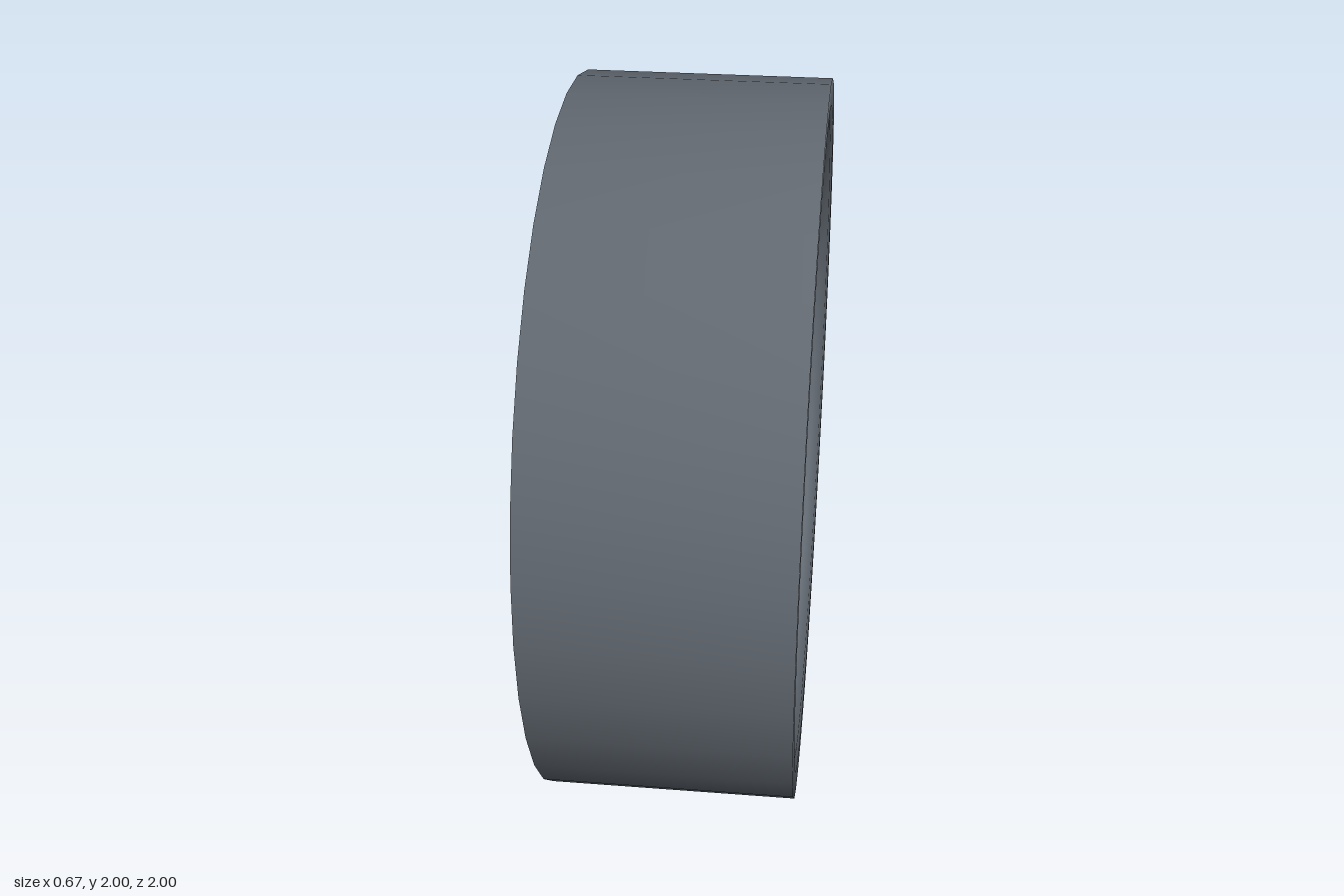
import * as THREE from 'three';

const BLADES = 9;
const steel = new THREE.MeshStandardMaterial({ color: 0x60676f });
steel.name = 'blue grey steel';
const bronze = new THREE.MeshStandardMaterial({ color: 0x8a7652 });
bronze.name = 'bronze';

// Edge curve of a blade; each point is [x along the axle, radius, sweep in degrees]
const edge = (points) => new THREE.CatmullRomCurve3(points.map((p) => new THREE.Vector3(...p)));

const leading = edge([
  [0.08, 0.14, 0], [0.1, 0.3, 1], [0.1, 0.47, 12], [0.085, 0.63, 24], [0.05, 0.75, 38], [0.01, 0.83, 47], [-0.01, 0.875, 54],
]);
const trailing = edge([
  [-0.08, 0.14, 42], [-0.075, 0.26, 45], [-0.06, 0.38, 49], [-0.035, 0.5, 53], [-0.02, 0.63, 57], [-0.02, 0.75, 58], [-0.03, 0.85, 58.5],
]);

// Swept, twisted blade: a flat box bent between its two edges
function bladeGeometry() {
  const geometry = new THREE.BoxGeometry(1, 1, 1, 8, 16, 1);
  const pos = geometry.attributes.position;
  for (let i = 0; i < pos.count; i++) {
    const u = pos.getX(i) + 0.5;
    const t = pos.getY(i) + 0.5;
    const p = leading.getPoint(t).lerp(trailing.getPoint(t), u);
    const bulge = 4 * u * (1 - u);
    const x = p.x + 0.012 * bulge - pos.getZ(i) * (0.008 + 0.016 * bulge);
    const a = THREE.MathUtils.degToRad(p.z);
    pos.setXYZ(i, x, p.y * Math.cos(a), p.y * Math.sin(a));
  }
  geometry.computeVertexNormals();
  return geometry;
}

// Wide ring: 36 sides outside, thick rounded lips, and a 12-sided bore
function ringGeometry() {
  const profile = [
    [0.865, 0], [0.865, -0.26], [0.87, -0.305], [0.89, -0.33], [0.93, -0.335], [1, -0.335],
    [1, 0.335], [0.93, 0.335], [0.89, 0.33], [0.87, 0.305], [0.865, 0.26], [0.865, 0],
  ].map(([r, y]) => new THREE.Vector2(r, y));
  const geometry = new THREE.LatheGeometry(profile, 36);
  const pos = geometry.attributes.position;
  for (let i = 0; i < pos.count; i++) {
    const column = Math.floor(i / profile.length);
    if (profile[i % profile.length].x < 0.88) {
      // Pull the bore onto the straight sides of a 12-gon
      const angle = THREE.MathUtils.degToRad((column % 3) * 10 - 15);
      const k = Math.cos(Math.PI / 12) / Math.cos(angle);
      pos.setX(i, pos.getX(i) * k);
      pos.setZ(i, pos.getZ(i) * k);
    }
  }
  return geometry.rotateZ(-Math.PI / 2);
}

export function createModel() {
  const model = new THREE.Group();
  model.name = 'ductedFan';

  const add = (name, geometry, material, parent) => {
    const mesh = new THREE.Mesh(geometry, material);
    mesh.name = name;
    parent.add(mesh);
    return mesh;
  };

  // Parts turn about the x axis, one unit above the ground
  const fan = new THREE.Group();
  fan.name = 'fan';
  fan.position.y = 1;
  model.add(fan);

  add('ring', ringGeometry(), steel, fan);
  add('hub', new THREE.CapsuleGeometry(0.135, 0.1, 8, 24).rotateZ(Math.PI / 2), steel, fan);

  // Blades
  const blade = bladeGeometry();
  for (let i = 0; i < BLADES; i++) {
    add('blade' + (i + 1), blade, bronze, fan).rotation.x = (i * 2 * Math.PI) / BLADES;
  }
  return model;
}
